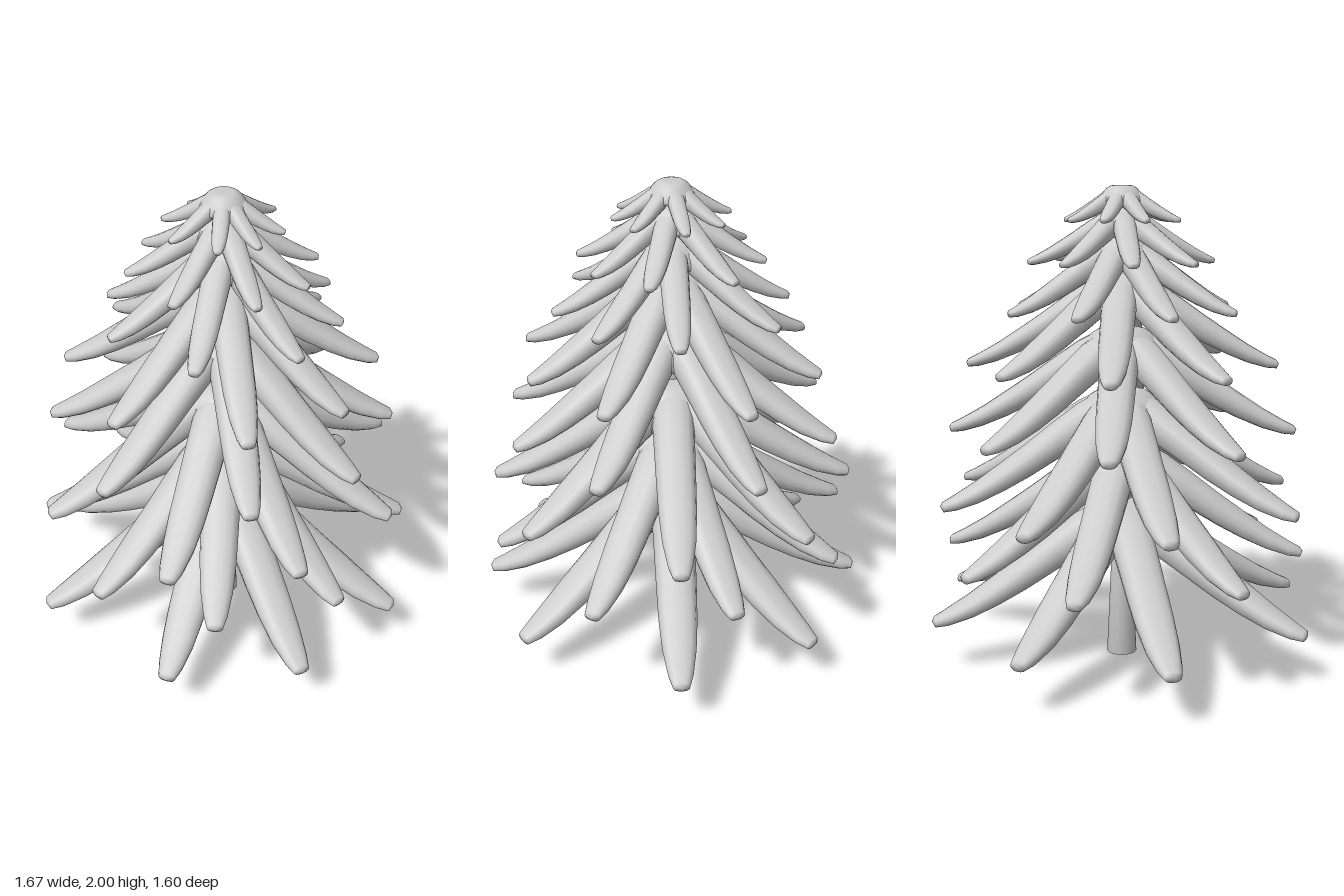
import * as THREE from 'three';

const material = new THREE.MeshStandardMaterial({ color: 0xcccccc });

// Tiers from top to bottom: [top height, tip height, reach, turn in degrees]
const TIERS = [
  [2.0, 1.86, 0.25, 0],
  [1.91, 1.69, 0.392, -25],
  [1.79, 1.49, 0.505, -42],
  [1.65, 1.26, 0.655, -14],
  [1.42, 0.98, 0.735, -14],
  [1.16, 0.69, 0.8, 11],
  [0.94, 0.455, 0.797, 37],
  [0.69, 0.2, 0.85, 11],
];

// Branches around each tier: [angle in degrees, relative reach]
const ARMS = [[0, 1], [51.5, 0.97], [92, 0.96], [132, 0.97], [181, 1], [230, 1], [272, 0.97], [317, 0.97]];

// Branch rings: [reach, drop of the ridge, width, thickness]
const RINGS = [
  [0.02, 0.0, 1.1, 1.1],
  [0.12, 0.02, 1.12, 1.15],
  [0.24, 0.12, 1.1, 1.12],
  [0.38, 0.28, 1.06, 1.02],
  [0.52, 0.45, 1.02, 0.9],
  [0.66, 0.61, 0.97, 0.76],
  [0.8, 0.765, 0.84, 0.58],
  [0.92, 0.88, 0.62, 0.4],
  [0.985, 0.935, 0.42, 0.26],
];

const armWidth = (reach) => 0.02 + 0.17 * reach;
const armThickness = (reach) => 0.03 + 0.155 * reach;

// Drooping branch along +x, lofted through softly squared rings
function branchGeometry(top, tip, reach) {
  const sides = 14, pos = [], index = [];
  const width = armWidth(reach), thick = armThickness(reach), drop = top - tip;
  const soft = (v) => Math.sign(v) * Math.abs(v) ** 0.85;
  for (const [r, d, w, h] of RINGS) {
    const y = top - d * drop - (h * thick) / 2;
    for (let i = 0; i < sides; i++) {
      const a = (i / sides) * Math.PI * 2;
      pos.push(r * reach, y + soft(Math.sin(a)) * h * thick / 2, soft(Math.cos(a)) * w * width / 2);
    }
  }
  for (let k = 0; k < RINGS.length - 1; k++) {
    for (let i = 0; i < sides; i++) {
      const a = k * sides + i, b = k * sides + (i + 1) % sides;
      index.push(a, a + sides, b, b, a + sides, b + sides);
    }
  }
  // Blunt end point
  const last = (RINGS.length - 1) * sides, end = pos.length / 3;
  pos.push(reach, top - drop * 0.97, 0);
  for (let i = 0; i < sides; i++) index.push(last + i, end, last + (i + 1) % sides);
  const geometry = new THREE.BufferGeometry();
  geometry.setAttribute('position', new THREE.Float32BufferAttribute(pos, 3));
  geometry.setIndex(index);
  geometry.computeVertexNormals();
  return geometry;
}

// Sloping web that fills the valleys where the branches of a tier grow together
function hubGeometry(top, reach) {
  const radius = 0.045 + 0.2 * reach, thick = armThickness(reach);
  const profile = [[0, -1.1], [0.5, -1.13], [0.8, -1.18], [0.96, -1.12], [1, -0.95], [0.95, -0.72], [0.82, -0.42], [0.66, -0.17], [0.5, -0.04], [0.36, 0], [0, 0]];
  return new THREE.LatheGeometry(profile.map(([r, y]) => new THREE.Vector2(r * radius, top + y * thick)), 24);
}

export function createModel() {
  const tree = new THREE.Group();
  tree.name = 'coniferTree';

  // Slim tapered trunk
  const trunkLine = [[0, 0], [0.064, 0], [0.046, 0.4], [0.04, 0.9], [0.034, 1.4], [0.025, 1.99], [0, 1.99]];
  const trunkGeometry = new THREE.LatheGeometry(trunkLine.map(([r, y]) => new THREE.Vector2(r, y)), 10);
  const trunk = new THREE.Mesh(trunkGeometry, material);
  trunk.name = 'trunk';
  tree.add(trunk);

  // Whorls of branches
  TIERS.forEach(([top, tip, reach, turn], t) => {
    const tier = new THREE.Group();
    tier.name = `branchTier${t + 1}`;
    const hub = new THREE.Mesh(hubGeometry(top, reach), material);
    hub.name = 'tierHub';
    tier.add(hub);
    const geometry = branchGeometry(top, tip, reach);
    for (const [angle, stretch] of ARMS) {
      const branch = new THREE.Mesh(geometry, material);
      branch.name = 'branch';
      branch.rotation.y = -THREE.MathUtils.degToRad(turn + angle);
      branch.scale.x = stretch;
      tier.add(branch);
    }
    tree.add(tier);
  });
  return tree;
}
